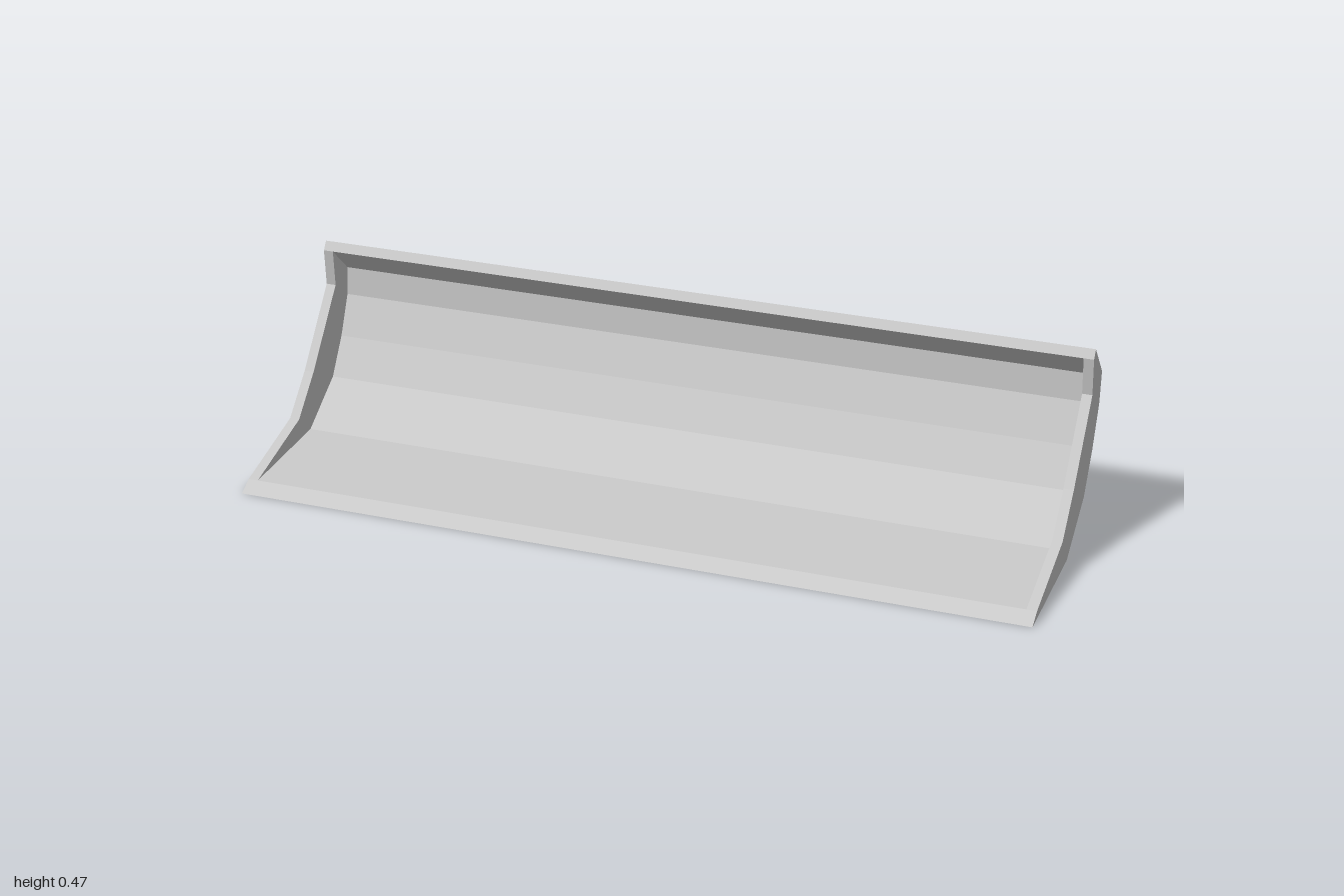
import * as THREE from 'three';

const material = new THREE.MeshStandardMaterial({ color: 0xcccccc, flatShading: true });

// Extrude a (z, y) profile across x; lo(z) and hi(z) give the x of its two ends.
function prism(name, profile, lo, hi) {
  const shape = new THREE.Shape(profile.map(([z, y]) => new THREE.Vector2(z, y)));
  const geometry = new THREE.ExtrudeGeometry(shape, { depth: 1, bevelEnabled: false });
  geometry.rotateY(-Math.PI / 2).translate(1, 0, 0);
  const p = geometry.attributes.position;
  for (let i = 0; i < p.count; i++) {
    const z = p.getZ(i);
    p.setX(i, THREE.MathUtils.lerp(lo(z), hi(z), p.getX(i)));
  }
  geometry.computeVertexNormals();
  const mesh = new THREE.Mesh(geometry, material);
  mesh.name = name;
  return mesh;
}

export function createModel() {
  const group = new THREE.Group();
  group.name = 'dozerBlade';

  // Profiles shared by the blade and its end plates, as (z, y)
  const cuttingEdge = [[0.44, 0], [0.4, 0.021]];
  const back = [
    [-0.08, 0.445], [-0.095, 0.466], [-0.185, 0.37], [-0.175, 0.288],
    [-0.125, 0.187], [-0.058, 0.092], [0.1, 0],
  ];
  const inside = [[0.1, 0.025], [-0.043, 0.11], [-0.105, 0.2], [-0.152, 0.298], [-0.16, 0.37]];
  const plateFront = [[0.16, 0.079], [0.065, 0.17], [-0.086, 0.35]];

  // Curved blade shell
  const inner = 0.975;
  group.add(prism('bladeShell', [...cuttingEdge, ...inside, ...back], () => -inner, () => inner));

  // End plates
  const plate = [...cuttingEdge, ...plateFront, ...back];
  group.add(prism('leftEndPlate', plate, () => inner, () => 1));
  group.add(prism('rightEndPlate', plate, () => -1, () => -inner));

  // Hitch frame: two splayed arms reaching into the shell, joined by a crossbar
  const armOuter = (z) => 0.2 - 0.34 * (z + 0.44);
  const armInner = (z) => 0.14 - 0.357 * (z + 0.395);
  const arm = [[-0.12, 0.187], [-0.44, 0.187], [-0.44, 0.15], [-0.34, 0.12], [-0.075, 0.12]];
  group.add(prism('leftHitchArm', arm, armInner, armOuter));
  group.add(prism('rightHitchArm', arm, (z) => -armOuter(z), (z) => -armInner(z)));
  const bar = [[-0.395, 0.187], [-0.44, 0.187], [-0.44, 0.15], [-0.395, 0.1365]];
  group.add(prism('hitchCrossbar', bar, (z) => -armInner(z), armInner));

  // Upright post on the crossbar
  const post = new THREE.Mesh(new THREE.BoxGeometry(0.07, 0.096, 0.046), material);
  post.position.set(0, 0.235, -0.417);
  post.name = 'hitchPost';
  group.add(post);

  return group;
}
